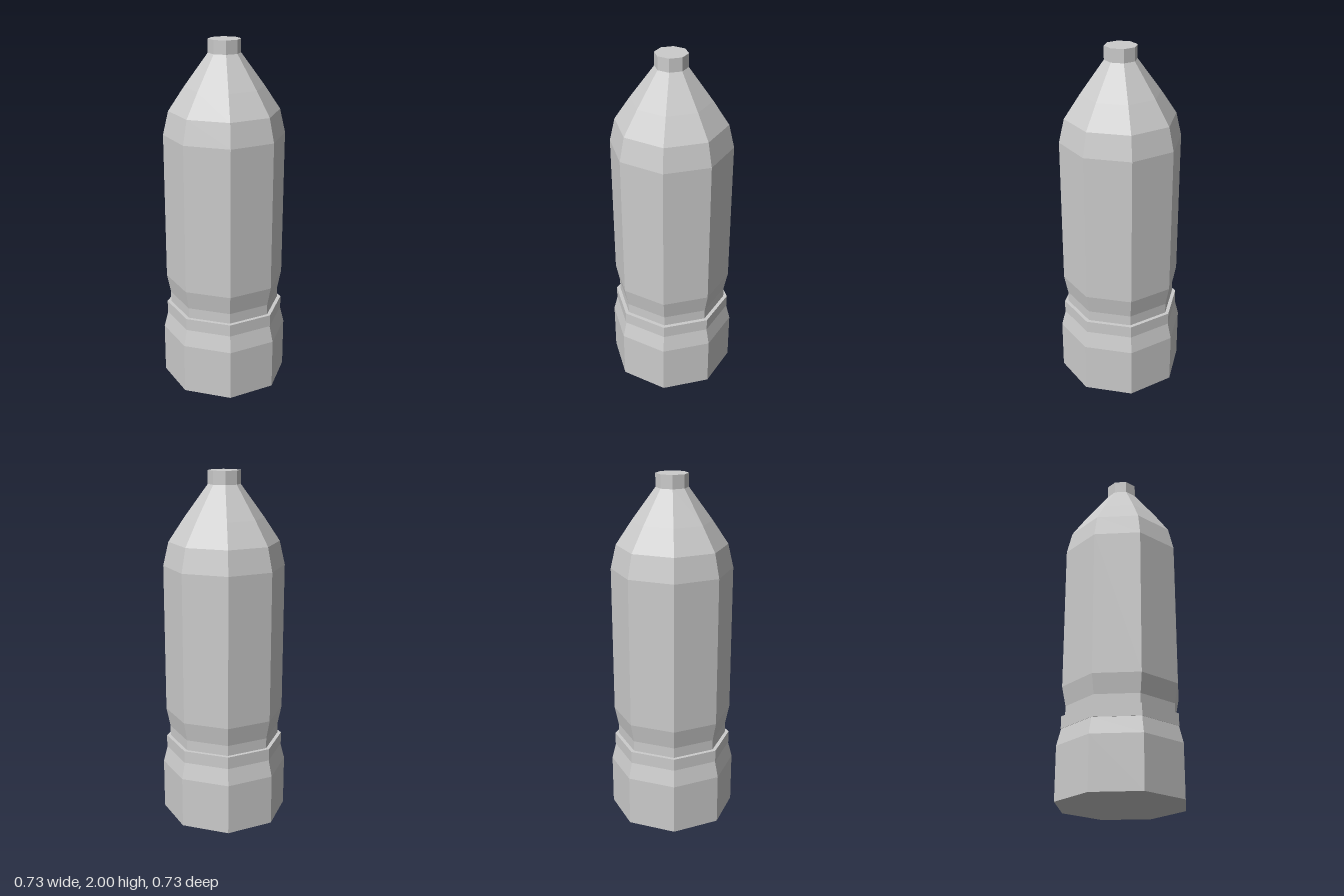
import * as THREE from 'three';

const material = new THREE.MeshStandardMaterial({ color: 0xcccccc, flatShading: true });

// Eight-sided turned part from [radius, height] pairs, bottom to top
function turned(name, profile) {
  const points = profile.map(([r, y]) => new THREE.Vector2(r, y));
  const mesh = new THREE.Mesh(new THREE.LatheGeometry(points, 8), material);
  mesh.name = name;
  return mesh;
}

export function createModel() {
  const group = new THREE.Group();
  group.name = 'bottle';
  group.add(
    // Wide foot tapering in to the collar
    turned('base', [[0, 0], [0.363, 0], [0.363, 0.295], [0.339, 0.39], [0, 0.39]]),
    // Straight band between base and body
    turned('collar', [[0, 0.39], [0.341, 0.39], [0.341, 0.46], [0, 0.46]]),
    // Body with a narrow waist, long sides and sloping shoulders
    turned('body', [
      [0, 0.46], [0.319, 0.46], [0.319, 0.52], [0.341, 0.63], [0.341, 1.48],
      [0.31, 1.613], [0.222, 1.745], [0.087, 1.93], [0, 1.93],
    ]),
    // Small flat-topped cap
    turned('cap', [[0, 1.925], [0.09, 1.925], [0.09, 2], [0, 2]]),
  );
  return group;
}
